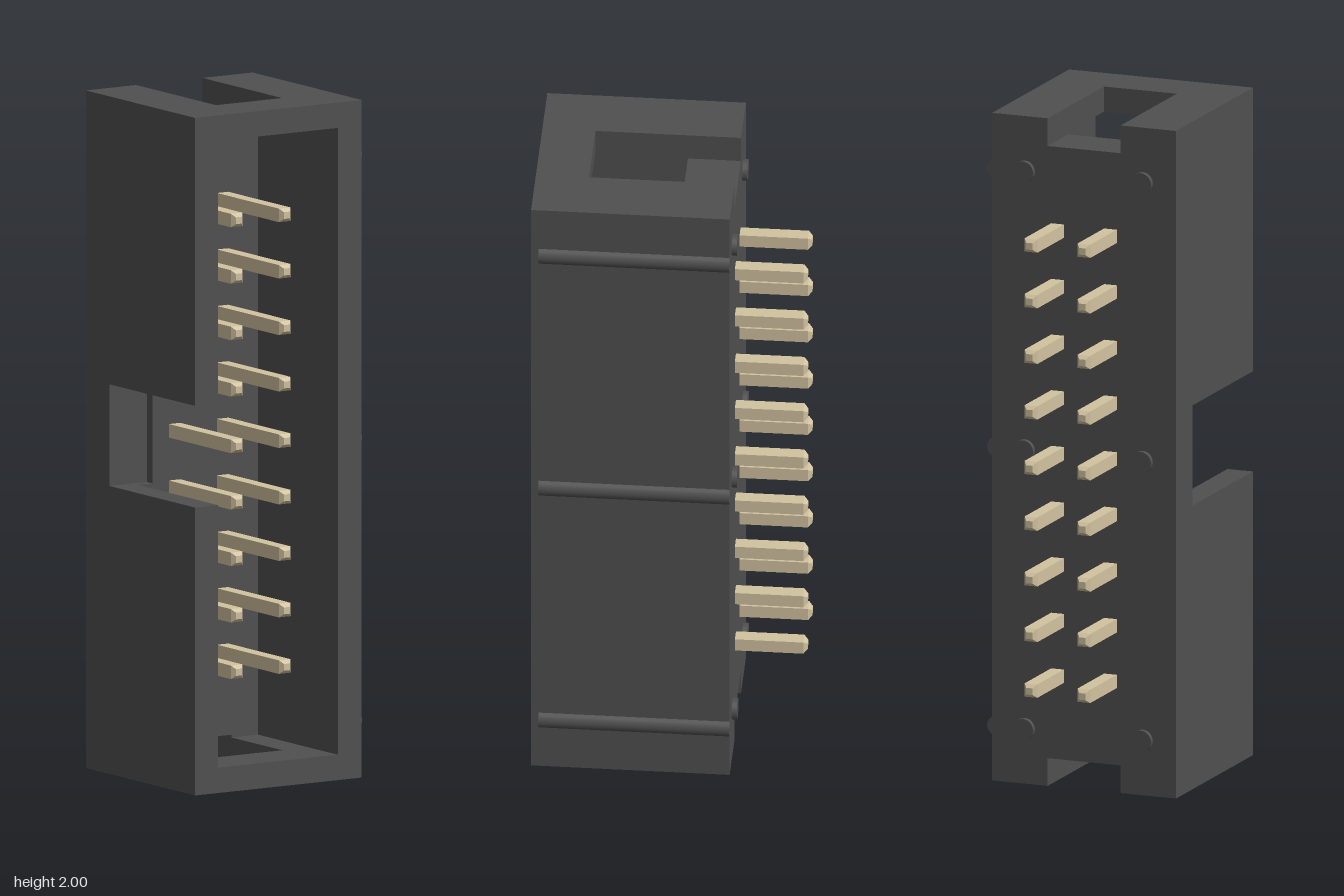
import * as THREE from 'three';

const HOUSING = new THREE.MeshStandardMaterial({ color: 0x505050 });
const METAL = new THREE.MeshStandardMaterial({ color: 0xd2c3a0 });

// Outer walls, cavity, end windows and side key slot
const X0 = -0.3, X1 = 0.28, CX0 = -0.22, CX1 = 0.197;
const CY0 = 0.075, CY1 = 1.925;
const WX0 = -0.125, WX1 = 0.105, NY0 = 0.083, NY1 = 1.917;
const SLOT_X = -0.17, SY0 = 0.85, SY1 = 1.15;
const BACK = -0.185, FRONT = 0.395;

// Extrudes an outline in the xy plane between two depths
function slab(name, points, z0, z1) {
  const shape = new THREE.Shape(points.map(([x, y]) => new THREE.Vector2(x, y)));
  const geo = new THREE.ExtrudeGeometry(shape, { depth: z1 - z0, bevelEnabled: false });
  geo.translate(0, 0, z0);
  const mesh = new THREE.Mesh(geo, HOUSING);
  mesh.name = name;
  return mesh;
}

function buildHousing() {
  const g = new THREE.Group();
  g.name = 'housing';

  // Solid base with a notch at each end, then a thin layer that takes the key slot
  const base = [
    [X0, 0], [WX0, 0], [WX0, NY0], [WX1, NY0], [WX1, 0], [X1, 0],
    [X1, 2], [WX1, 2], [WX1, NY1], [WX0, NY1], [WX0, 2], [X0, 2],
  ];
  const slot = [[X0, SY1], [SLOT_X, SY1], [SLOT_X, SY0], [X0, SY0]];
  g.add(slab('base', base, BACK, -0.06));
  g.add(slab('slottedBase', [...base, ...slot], -0.06, -0.03));

  // Walls beside the end windows
  g.add(slab('plainSideWall', [
    [WX1, 0], [X1, 0], [X1, 2], [WX1, 2], [WX1, CY1], [CX1, CY1], [CX1, CY0], [WX1, CY0],
  ], -0.03, 0.24));
  g.add(slab('lowerSlotWall', [
    [X0, 0], [WX0, 0], [WX0, CY0], [CX0, CY0], [CX0, SY0], [X0, SY0],
  ], -0.03, 0.24));
  g.add(slab('upperSlotWall', [
    [X0, SY1], [CX0, SY1], [CX0, CY1], [WX0, CY1], [WX0, 2], [X0, 2],
  ], -0.03, 0.24));

  // Front rim, open at the key slot
  g.add(slab('frontRim', [
    [X0, 0], [X1, 0], [X1, 2], [X0, 2], [X0, SY1], [CX0, SY1], [CX0, CY1],
    [CX1, CY1], [CX1, CY0], [CX0, CY0], [CX0, SY0], [X0, SY0],
  ], 0.24, FRONT));
  return g;
}

// Round bar along z
function zCylinder(name, r, x, y, z0, z1) {
  const geo = new THREE.CylinderGeometry(r, r, z1 - z0, 24);
  geo.rotateX(Math.PI / 2);
  const mesh = new THREE.Mesh(geo, HOUSING);
  mesh.position.set(x, y, (z0 + z1) / 2);
  mesh.name = name;
  return mesh;
}

// Square pin with chamfered tips: a four-sided lathe along z
function pinGeometry() {
  const k = Math.SQRT2, w = 0.02, t = 0.01;
  const profile = [[0, -0.397], [t, -0.397], [w, -0.385], [w, 0.3], [t, 0.312], [0, 0.312]]
    .map(([r, z]) => new THREE.Vector2(r * k, z));
  const geo = new THREE.LatheGeometry(profile, 4, Math.PI / 4);
  geo.rotateX(Math.PI / 2);
  const flat = geo.toNonIndexed();
  flat.computeVertexNormals();
  return flat;
}

export function createModel() {
  const model = new THREE.Group();
  model.name = 'boxHeader';
  model.add(buildHousing());

  // Side ribs and rear standoff feet
  for (const y of [0.165, 1, 1.835]) {
    model.add(zCylinder('sideRib', 0.03, 0.266, y, BACK, 0.373));
    for (const x of [-0.195, 0.177]) {
      model.add(zCylinder('standoffFoot', 0.032, x, y, -0.2, BACK + 0.02));
    }
  }

  // Two columns of nine pins
  const pins = new THREE.Group();
  pins.name = 'pins';
  const geo = pinGeometry();
  for (let i = 0; i < 9; i++) {
    for (const x of [-0.093, 0.074]) {
      const pin = new THREE.Mesh(geo, METAL);
      pin.name = 'pin';
      pin.position.set(x, 1 + (i - 4) / 6, 0);
      pins.add(pin);
    }
  }
  model.add(pins);
  return model;
}
